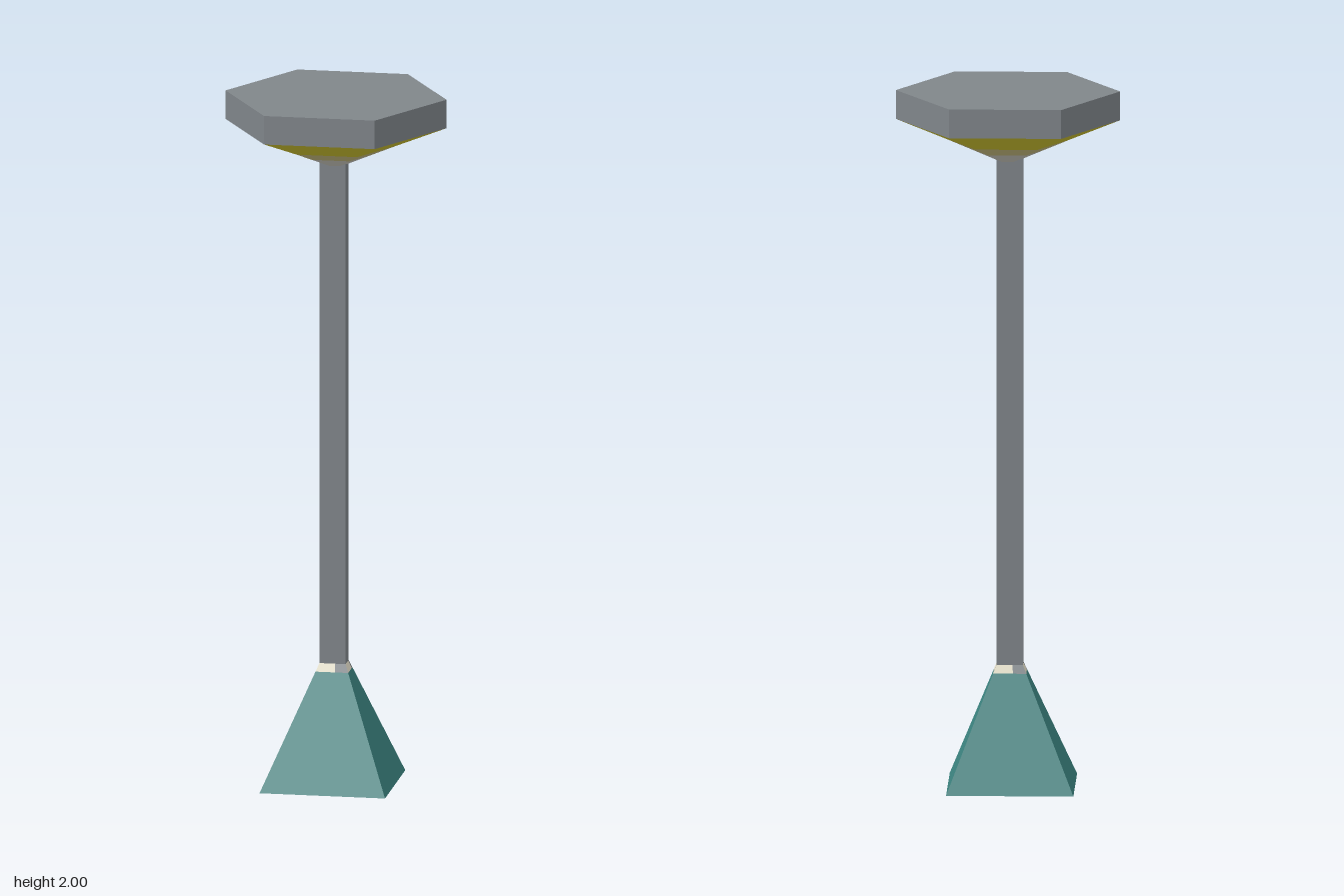
import * as THREE from 'three';

const material = (name, color) =>
  Object.assign(new THREE.MeshStandardMaterial({ color, flatShading: true, side: THREE.DoubleSide }), { name });

// Foot corners, counter-clockwise from the front left
const FOOT_HEIGHT = 0.35;
const bottom = [[-0.19, 0.17], [0.17, 0.17], [0.17, -0.165], [-0.19, -0.165]];
const top = [[-0.043, 0.026], [0.032, 0.026], [0.032, -0.025], [-0.043, -0.025]];

// Point on one sloping wall: u runs along the wall, y is the height
function wallPoint(side, u, y) {
  const t = y / FOOT_HEIGHT, next = (side + 1) % 4;
  const [x, z] = [0, 1].map((k) => {
    const a = THREE.MathUtils.lerp(bottom[side][k], top[side][k], t);
    const b = THREE.MathUtils.lerp(bottom[next][k], top[next][k], t);
    return THREE.MathUtils.lerp(a, b, u);
  });
  return [x, y, z];
}

function wallPanel(side, u0, u1, y0, y1) {
  const a = wallPoint(side, u0, y0), b = wallPoint(side, u1, y0);
  const c = wallPoint(side, u1, y1), d = wallPoint(side, u0, y1);
  const geometry = new THREE.BufferGeometry();
  geometry.setAttribute('position', new THREE.Float32BufferAttribute([a, b, c, a, c, d].flat(), 3));
  geometry.computeVertexNormals();
  return geometry;
}

export function createModel() {
  const model = new THREE.Group();
  model.name = 'pedestal';
  const grey = material('grey metal', 0x80868a);
  const teal = material('teal', 0x3c8481);
  const yellow = material('yellow', 0xcbbf30);
  const paleYellow = material('pale yellow', 0xc4ba7c);
  const paleGrey = material('pale grey', 0xc9c6bc);
  const cream = material('cream', 0xe6e1cb);

  const add = (name, geometry, mat, x = 0, y = 0, z = 0, parent = model) => {
    const mesh = new THREE.Mesh(geometry, mat);
    mesh.name = name;
    mesh.position.set(x, y, z);
    parent.add(mesh);
  };

  // Open pyramid foot with a patchy collar
  const foot = new THREE.Group();
  foot.name = 'foot';
  model.add(foot);
  const collarY = 0.327;
  for (let side = 0; side < 4; side++) {
    add('footWall', wallPanel(side, 0, 1, 0, collarY), teal, 0, 0, 0, foot);
    const split = side % 2 ? 0.85 : 0.6;
    add('collarLight', wallPanel(side, 0, split, collarY, FOOT_HEIGHT), cream, 0, 0, 0, foot);
    add('collarGrey', wallPanel(side, split, 1, collarY, FOOT_HEIGHT), grey, 0, 0, 0, foot);
  }

  // Rectangular pole
  add('pole', new THREE.BoxGeometry(0.075, 1.46, 0.051), grey, -0.0055, 1.08, 0.0005);

  // Hexagonal head: rim and lid, closed by the tapered underside
  const rim = new THREE.CylinderGeometry(0.317, 0.317, 0.083, 6, 1, true).rotateY(Math.PI / 6);
  add('headRim', rim, grey, 0, 1.9585, 0);
  const lid = new THREE.CircleGeometry(0.317, 6).rotateX(-Math.PI / 2);
  add('headTop', lid, grey, 0, 2, 0);

  // Underside bands, from the rim down to the pole
  const rings = [[1.917, 0.317], [1.86, 0.174], [1.832, 0.107], [1.8, 0.031]];
  [yellow, paleYellow, paleGrey].forEach((mat, i) => {
    const [y1, r1] = rings[i], [y0, r0] = rings[i + 1];
    const band = new THREE.CylinderGeometry(r1, r0, y1 - y0, 6, 1, true).rotateY(Math.PI / 6);
    add('underside', band, mat, 0, (y0 + y1) / 2, 0);
  });

  return model;
}
